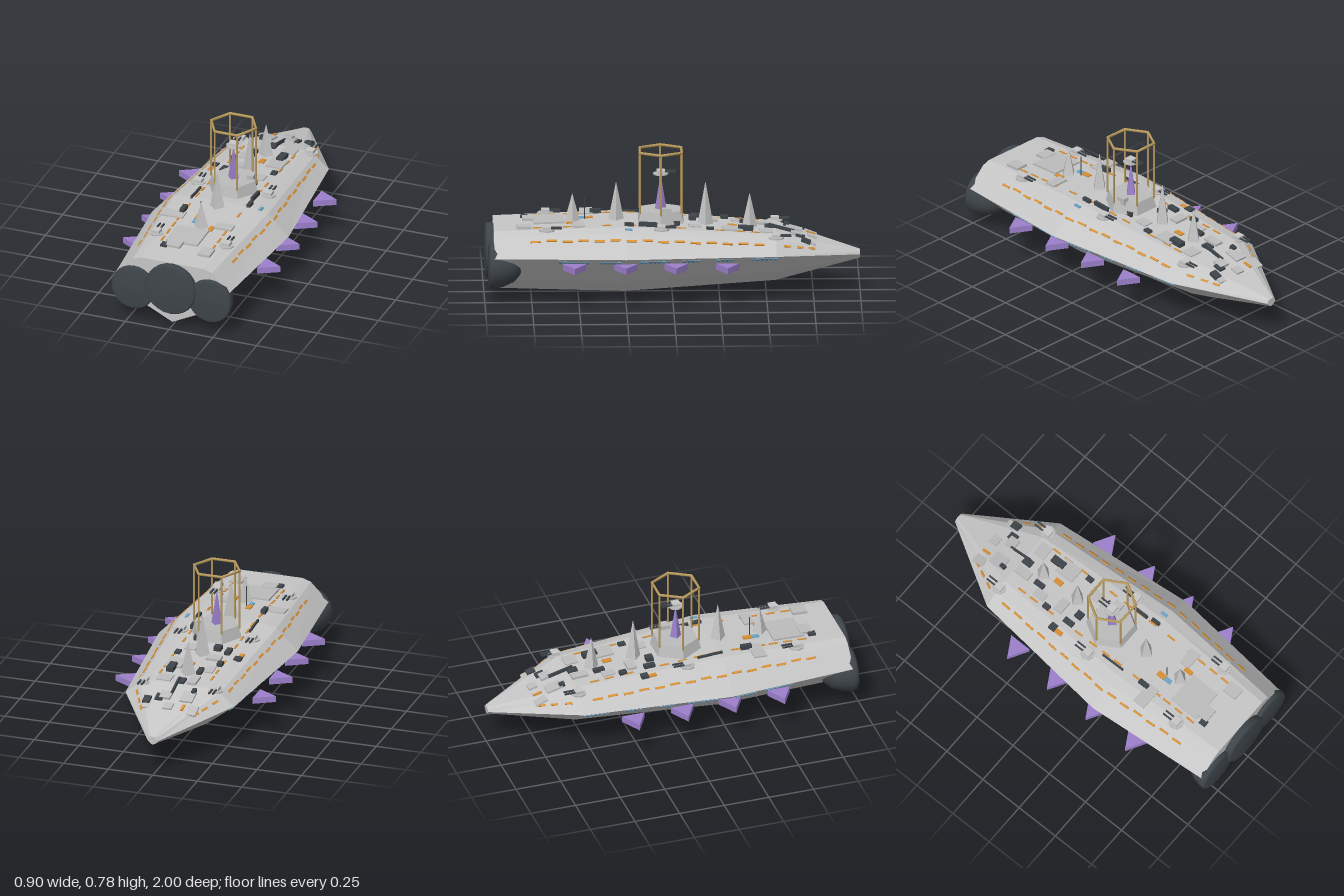
import * as THREE from 'three';

const material = (name, color, side = THREE.FrontSide) =>
  Object.assign(new THREE.MeshStandardMaterial({ color, side }), { name });

// Hull stations, stern to bow: z, then half profile x,y for keel, bilge, chine, shoulder, deck edge
const STATIONS = [
  [0.95, 0, 0.025, 0.16, 0.105, 0.325, 0.26, 0.225, 0.362, 0.18, 0.378],
  [0.25, 0, 0.004, 0.19, 0.1, 0.39, 0.267, 0.27, 0.382, 0.2, 0.4],
  [-0.55, 0, 0.06, 0.15, 0.14, 0.305, 0.26, 0.225, 0.328, 0.16, 0.348],
  [-1, 0, 0.18, 0.015, 0.188, 0.03, 0.205, 0.02, 0.22, 0.012, 0.226],
];

// Half profile at any z, as [x, y] pairs
function profileAt(z) {
  let i = 0;
  while (i < STATIONS.length - 2 && z < STATIONS[i + 1][0]) i++;
  const a = STATIONS[i], b = STATIONS[i + 1], t = (z - a[0]) / (b[0] - a[0]);
  const v = a.map((n, k) => n + (b[k] - n) * t);
  return [1, 3, 5, 7, 9].map((k) => [v[k], v[k + 1]]);
}

// Point on a hull strip: strip i, fraction t across it
function hullPoint(z, i, t, side) {
  const p = profileAt(z), a = p[i], b = p[i + 1];
  return new THREE.Vector3(side * (a[0] + (b[0] - a[0]) * t), a[1] + (b[1] - a[1]) * t, z);
}

// Height of the upper surface at x, z
function topY(x, z) {
  const p = profileAt(z), ax = Math.abs(x);
  if (ax <= p[4][0]) return p[4][1];
  const i = ax <= p[3][0] ? 3 : 2;
  const t = (ax - p[i][0]) / (p[i + 1][0] - p[i][0]);
  return p[i][1] + (p[i + 1][1] - p[i][1]) * t;
}

function hullGeometry() {
  const rings = STATIONS.map(([z]) => {
    const half = profileAt(z).map(([x, y]) => [x, y, z]);
    return [...half, ...half.slice(1).reverse().map(([x, y]) => [-x, y, z])];
  });
  const pos = [], n = rings[0].length, last = rings[rings.length - 1];
  const tri = (...p) => p.forEach((q) => pos.push(...q));
  for (let s = 0; s < rings.length - 1; s++)
    for (let j = 0; j < n; j++) {
      const k = (j + 1) % n, a = rings[s], b = rings[s + 1];
      tri(a[j], b[j], b[k]);
      tri(a[j], b[k], a[k]);
    }
  for (let j = 1; j < n - 1; j++) {
    tri(rings[0][0], rings[0][j], rings[0][j + 1]);
    tri(last[0], last[j + 1], last[j]);
  }
  const g = new THREE.BufferGeometry();
  g.setAttribute('position', new THREE.Float32BufferAttribute(pos, 3));
  g.computeVertexNormals();
  return g;
}

export function createModel() {
  const root = new THREE.Group();
  root.name = 'spaceship';
  const hullGrey = material('hull grey', 0xc6c6c6);
  const plateGrey = material('plate grey', 0xbcbcbc);
  const dark = material('dark metal', 0x3e454a);
  const purple = material('purple', 0x9c80cc);
  const gold = material('gold', 0xb99a5c);
  const orange = material('orange', 0xd68f35);
  const blue = material('window blue', 0x6aa5c8);

  const add = (name, geo, mat, x = 0, y = 0, z = 0, parent = root) => {
    const m = new THREE.Mesh(geo, mat);
    m.name = name;
    m.position.set(x, y, z);
    parent.add(m);
    return m;
  };
  const flat = (geo) => {
    const g = geo.toNonIndexed();
    g.computeVertexNormals();
    return g;
  };

  add('hull', hullGeometry(), hullGrey);

  // Engine bells at the stern
  const engine = (x, y, z, r) => {
    const profile = [[0, -0.165], [0.42, -0.15], [0.72, -0.115], [0.92, -0.06], [1, -0.015],
      [1, 0.005], [0.93, 0.018], [0, 0.022]].map(([a, h]) => new THREE.Vector2(a * r, h));
    add('engine', new THREE.LatheGeometry(profile, 24), dark, x, y, z).rotation.x = Math.PI / 2;
  };
  engine(0, 0.235, 0.978, 0.145);
  for (const s of [-1, 1]) engine(s * 0.218, 0.199, 0.962, 0.123);

  // Side fins, triangles pointing outwards
  for (const s of [-1, 1])
    for (const z of [0.524, 0.251, -0.016, -0.29])
      add('sideFin', flat(new THREE.CylinderGeometry(0.073, 0.073, 0.034, 3)), purple,
        s * 0.377, 0.218, z).rotation.y = s * Math.PI / 2;

  // Four-sided spires along the centre line
  const spire = (z, top, r, mat, name) => {
    const base = topY(0, z) - 0.005;
    add(name, flat(new THREE.ConeGeometry(r, top - base, 4)), mat, 0, (top + base) / 2, z);
  };
  for (const [z, top] of [[0.53, 0.54], [0.297, 0.605], [-0.178, 0.603], [-0.413, 0.54]])
    spire(z, top, 0.042, hullGrey, 'spire');
  spire(0.06, 0.645, 0.042, purple, 'centreSpire');

  // Tower base, posts and hexagonal crown
  const tower = new THREE.Group();
  tower.name = 'tower';
  tower.position.z = 0.06;
  root.add(tower);
  const base = add('towerBase', flat(new THREE.CylinderGeometry(0.122, 0.14, 0.065, 6)), plateGrey, 0, 0.422, 0, tower);
  base.rotation.y = Math.PI / 6;
  add('towerBlock', new THREE.BoxGeometry(0.035, 0.04, 0.05), plateGrey, 0.09, 0.457, -0.03, tower);
  for (let k = 0; k < 6; k++) {
    const a = k * Math.PI / 3;
    add('towerPost', new THREE.CylinderGeometry(0.0055, 0.0055, 0.33, 8), gold,
      0.128 * Math.cos(a), 0.607, 0.128 * Math.sin(a), tower);
  }
  add('towerCrown', new THREE.TorusGeometry(0.128, 0.008, 8, 6), gold, 0, 0.772, 0, tower).rotation.x = Math.PI / 2;

  // Twin-barrel turrets, guns towards the bow
  const turret = (x, y, z) => {
    const g = new THREE.Group();
    g.name = 'turret';
    g.position.set(x, y, z);
    root.add(g);
    add('turretRing', flat(new THREE.CylinderGeometry(0.042, 0.042, 0.008, 8)), plateGrey, 0, 0.004, 0, g);
    add('turretBody', new THREE.BoxGeometry(0.044, 0.018, 0.044), hullGrey, 0, 0.016, 0, g);
    for (const s of [-1, 1])
      add('gunBarrel', new THREE.BoxGeometry(0.008, 0.008, 0.07), dark, s * 0.011, 0.017, -0.045, g);
  };
  for (const z of [-0.55, 0.06, 0.67])
    for (const s of [-1, 1]) turret(s * 0.2, topY(0.2, z) - 0.001, z);
  turret(0, 0.641, 0.06);

  // Boxes lying on the deck: x, z, width, depth
  const onDeck = (name, mat, h, list) => list.forEach(([x, z, w, d], i) => {
    const height = h > 0.01 ? h * (0.7 + 0.3 * (i % 3)) : h;
    const slope = (topY(x, z + 0.01) - topY(x, z - 0.01)) / 0.02;
    add(name, new THREE.BoxGeometry(w, height, d), mat, x, topY(x, z) + height / 2 - 0.002, z)
      .rotation.x = -Math.atan(slope);
  });
  onDeck('deckPlate', plateGrey, 0.012, [
    [-0.13, -0.74, 0.06, 0.07], [0, -0.745, 0.05, 0.05], [0.04, -0.66, 0.06, 0.06], [0.12, -0.74, 0.05, 0.05],
    [-0.08, -0.65, 0.07, 0.09], [-0.06, -0.5, 0.05, 0.09], [0.1, -0.5, 0.08, 0.07], [0.1, -0.32, 0.09, 0.11],
    [-0.08, -0.22, 0.08, 0.05], [0.08, -0.12, 0.06, 0.07], [-0.03, 0.655, 0.18, 0.17], [0.13, 0.79, 0.07, 0.08],
    [-0.19, 0.455, 0.13, 0.07], [0.12, 0.5, 0.1, 0.06], [-0.06, 0.76, 0.08, 0.07], [-0.1, -0.35, 0.05, 0.07],
  ]);
  onDeck('deckBox', dark, 0.02, [
    [0.07, -0.68, 0.04, 0.05], [0.13, -0.71, 0.04, 0.05], [-0.1, -0.61, 0.022, 0.03], [0, -0.52, 0.04, 0.055],
    [-0.06, -0.39, 0.028, 0.06], [0.1, -0.39, 0.04, 0.08], [-0.2, -0.18, 0.04, 0.04], [-0.135, -0.28, 0.03, 0.04],
    [-0.065, -0.11, 0.04, 0.04], [0.13, -0.2, 0.03, 0.04], [-0.13, -0.13, 0.03, 0.06], [0.15, 0.13, 0.015, 0.1],
    [-0.16, 0.2, 0.01, 0.14], [0.16, 0.23, 0.02, 0.05], [-0.15, 0.405, 0.025, 0.06], [-0.11, 0.785, 0.035, 0.04],
    [0.015, -0.58, 0.01, 0.14], [0.09, 0.0, 0.015, 0.08],
  ]);
  onDeck('deckMarking', orange, 0.008, [
    [0.015, -0.32, 0.03, 0.05], [-0.205, -0.14, 0.025, 0.05], [-0.05, 0.445, 0.03, 0.05], [0.06, 0.54, 0.025, 0.05],
    [-0.08, -0.74, 0.015, 0.05],
  ]);
  onDeck('skylight', blue, 0.008, [[0.225, 0.235, 0.016, 0.04], [-0.05, 0.49, 0.025, 0.04]]);
  for (const s of [-1, 1])
    onDeck('deckDash', orange, 0.006, [-0.44, -0.36, -0.25, -0.05, 0.05, 0.14, 0.22, 0.35, 0.49, 0.56, 0.64, 0.72]
      .map((z) => [s * 0.145, z, 0.01, 0.05]));
  add('antenna', new THREE.CylinderGeometry(0.003, 0.003, 0.12, 6), dark, -0.028, 0.445, 0.465);

  // Thin plates lying on a sloping hull strip
  const onHull = (name, mat, z, i, t, side, len, wid) => {
    const T = hullPoint(z + 0.005, i, t, side).sub(hullPoint(z - 0.005, i, t, side)).normalize();
    const U = hullPoint(z, i, 1, side).sub(hullPoint(z, i, 0, side));
    const N = T.clone().cross(U).normalize();
    U.crossVectors(N, T);
    const p = hullPoint(z, i, t, side);
    add(name, new THREE.BoxGeometry(len, wid, 0.008), mat, p.x, p.y, p.z)
      .quaternion.setFromRotationMatrix(new THREE.Matrix4().makeBasis(T, U, N));
  };
  for (const s of [-1, 1]) {
    for (let k = 0; k < 15; k++)
      onHull('sideDash', orange, 0.73 - k * 0.085, 2, 0.72 + 0.04 * (k % 2), s, 0.055, 0.012);
    for (const z of [-0.61, -0.68, -0.74]) onHull('bowDash', orange, z, 2, 0.7, s, 0.04, 0.012);
    // Window rows just under the chine
    for (const [start, count] of [[0.6, 7], [0.385, 5], [0.17, 7], [-0.06, 4], [-0.24, 4], [-0.425, 6]])
      for (let k = 0; k < count; k++)
        onHull('window', blue, start - k * 0.024, 1, 0.87, s, 0.016, 0.022);
  }
  return root;
}
